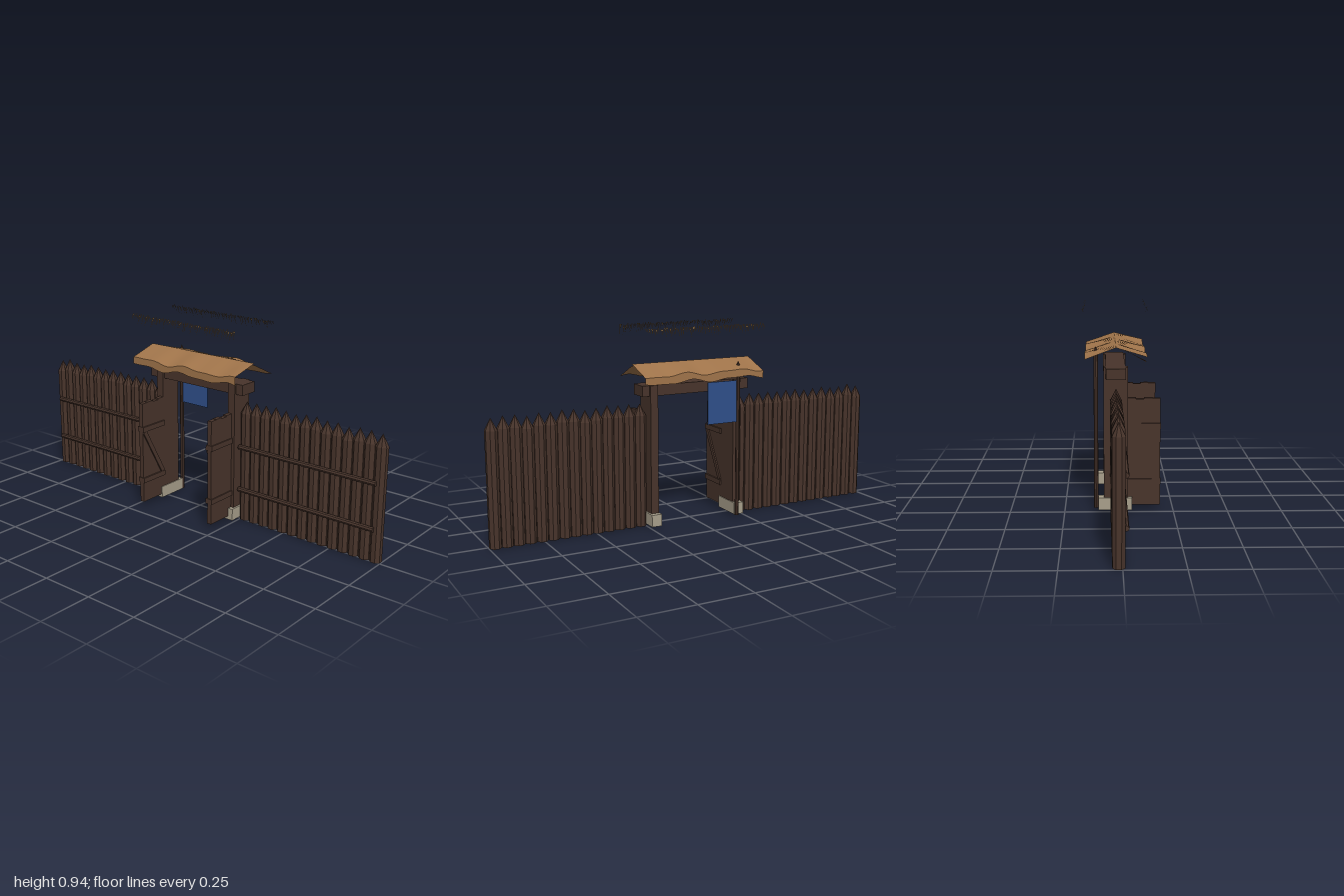
import * as THREE from 'three';

const mat = (name, color, side = THREE.FrontSide) => {
  const m = new THREE.MeshStandardMaterial({ color, side });
  m.name = name;
  return m;
};

export function createModel() {
  const wood = mat('darkWood', 0x48342b);
  const plank = mat('roofWood', 0xa0744a);
  const stone = mat('stone', 0xa89f8b);
  const cloth = mat('blueCloth', 0x2f4f8a);
  const straw = mat('straw', 0x8a6a42, THREE.DoubleSide);
  const model = new THREE.Group();
  model.name = 'palisadeGate';

  let seed = 7;
  const rand = () => (seed = (seed * 16807) % 2147483647) / 2147483647;

  const add = (parent, name, geo, material, x = 0, y = 0, z = 0) => {
    const mesh = new THREE.Mesh(geo, material);
    mesh.name = name;
    mesh.position.set(x, y, z);
    parent.add(mesh);
    return mesh;
  };
  // box given by its lower and upper limits
  const box = (parent, name, material, x0, x1, y0, y1, z0, z1) =>
    add(parent, name, new THREE.BoxGeometry(x1 - x0, y1 - y0, z1 - z0), material,
      (x0 + x1) / 2, (y0 + y1) / 2, (z0 + z1) / 2);
  const flat = (geo) => { const g = geo.toNonIndexed(); g.computeVertexNormals(); return g; };

  // pointed fence logs, rails, gate posts, footings and open doors on each side
  for (const s of [-1, 1]) {
    const label = s > 0 ? 'left' : 'right';
    const wall = new THREE.Group();
    wall.name = label + 'Wall';
    model.add(wall);
    for (let i = 0; i < 14; i++) {
      const top = 0.575 + 0.015 * rand();
      const profile = [[0, 0], [0.0275, 0], [0.0285, top - 0.055], [0, top]]
        .map(([r, y]) => new THREE.Vector2(r, y));
      const log = add(wall, 'fenceLog', flat(new THREE.LatheGeometry(profile, 8)), wood,
        s * (0.971 - i * 0.054), 0, -0.015);
      log.rotation.y = Math.PI / 8;
    }
    for (const y of [0.155, 0.365]) {
      const rail = add(wall, 'rail', flat(new THREE.CylinderGeometry(0.012, 0.012, 0.72, 8)),
        wood, s * 0.608, y, 0.014);
      rail.rotation.z = Math.PI / 2;
    }

    const mirror = (name, material, x0, x1, ...r) =>
      box(model, name, material, Math.min(s * x0, s * x1), Math.max(s * x0, s * x1), ...r);
    mirror('gatePost', wood, 0.2, 0.238, 0.01, 0.67, -0.07, 0.04);
    mirror('footing', stone, 0.196, 0.247, 0.008, 0.065, -0.095, 0.06);

    // door of uneven planks with cross bars and a diagonal brace
    const tops = [0.528, 0.522, 0.528, 0.526];
    tops.forEach((t, i) =>
      mirror('doorPlank', wood, 0.2, 0.222, 0.025, t, 0.04 + i * 0.0372, 0.04 + (i + 1) * 0.0372));
    for (const y of [0.125, 0.385])
      mirror('doorBar', wood, 0.192, 0.228, y, y + 0.025, 0.04, 0.191);
    const brace = add(model, 'doorBrace', new THREE.BoxGeometry(0.008, 0.265, 0.022), wood,
      s * 0.197, 0.2675, 0.115);
    brace.rotation.x = 0.5;
  }

  // lintel
  box(model, 'lintel', wood, -0.285, 0.275, 0.62, 0.67, -0.06, 0.03);

  // wedge-shaped roof slabs with wavy eaves and open ends
  const N = 40, X0 = -0.313, X1 = 0.305;
  const strip = (a, b, flip) => {
    const pos = [], index = [];
    for (let i = 0; i <= N; i++) {
      const x = X0 + (X1 - X0) * i / N;
      pos.push(x, ...a(x), x, ...b(x));
      if (i === N) continue;
      const k = 2 * i;
      if (flip) index.push(k, k + 3, k + 1, k, k + 2, k + 3);
      else index.push(k, k + 1, k + 3, k, k + 3, k + 2);
    }
    const g = new THREE.BufferGeometry();
    g.setAttribute('position', new THREE.Float32BufferAttribute(pos, 3));
    g.setIndex(index);
    g.computeVertexNormals();
    return g;
  };
  for (const s of [1, -1]) {
    const slab = new THREE.Group();
    slab.name = s > 0 ? 'frontRoof' : 'backRoof';
    model.add(slab);
    const zEdge = -0.015 + s * 0.14;
    const wave = (x) => 0.65 * Math.sin(x * 24 + s) + 0.35 * Math.sin(x * 41 + 2 * s);
    const ridge = () => [0.768, -0.015];
    const ridgeUnder = () => [0.76, -0.015];
    const upper = (x) => [0.724 + 0.011 * wave(x), zEdge];
    const lower = (x) => [0.69 + 0.011 * wave(x + 0.03), zEdge];
    add(slab, 'roofTop', strip(ridge, upper, s < 0), plank);
    add(slab, 'roofEdge', strip(upper, lower, s < 0), plank);
    add(slab, 'roofUnderside', strip(lower, ridgeUnder, s < 0), plank);

    // thin straw fringe hanging in a row
    const pos = [];
    for (let i = 0; i < 95; i++) {
      const x = X0 + (X1 - X0) * (i + rand()) / 95;
      const y = 0.932 + 0.01 * rand();
      const len = 0.018 + 0.045 * rand() * rand();
      const w = 0.0022;
      pos.push(x - w, y, zEdge, x + (rand() - 0.5) * 0.006, y - len, zEdge + s * (0.005 + 0.018 * rand()),
        x + w, y, zEdge);
    }
    const g = new THREE.BufferGeometry();
    g.setAttribute('position', new THREE.Float32BufferAttribute(pos, 3));
    g.computeVertexNormals();
    add(model, 'strawFringe', g, straw);
  }

  // flagpole with pointed tip, and banner
  add(model, 'flagPole', flat(new THREE.CylinderGeometry(0.01, 0.01, 0.725, 8)), wood, -0.204, 0.3705, -0.105);
  add(model, 'poleTip', flat(new THREE.ConeGeometry(0.013, 0.03, 8)), wood, -0.204, 0.747, -0.105);
  box(model, 'banner', cloth, -0.195, -0.04, 0.47, 0.67, -0.108, -0.103);

  return model;
}
